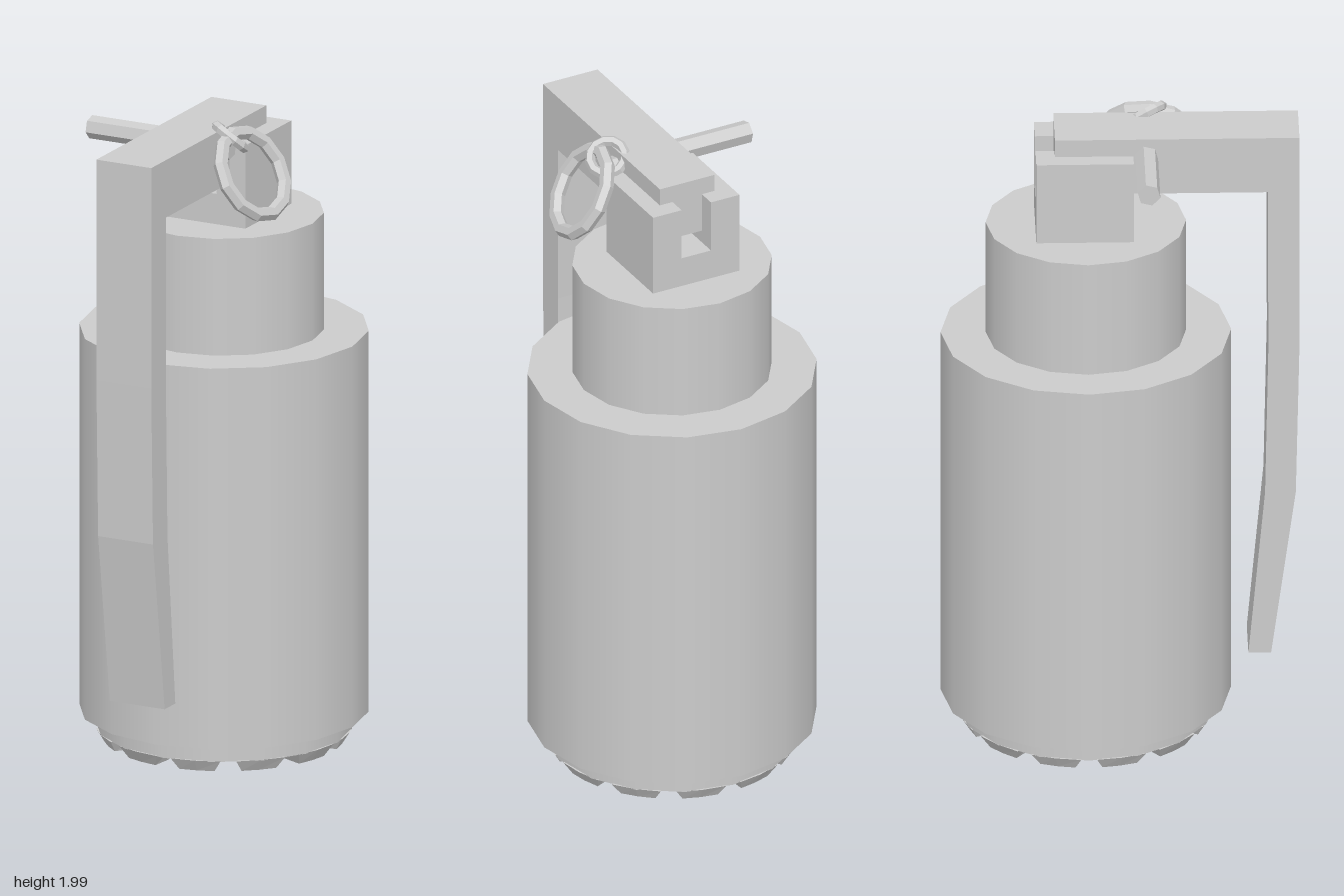
import * as THREE from 'three';

const smooth = new THREE.MeshStandardMaterial({ color: 0xcccccc });
const flat = new THREE.MeshStandardMaterial({ color: 0xcccccc, flatShading: true });
const AXIS_Z = -0.1; // the canister sits behind the centre

export function createModel() {
  const model = new THREE.Group();

  const add = (name, geometry, material, x = 0, y = 0, z = 0) => {
    const mesh = new THREE.Mesh(geometry, material);
    mesh.name = name;
    mesh.position.set(x, y, z);
    model.add(mesh);
    return mesh;
  };

  // Upright 16-sided drum between two heights
  const drum = (name, radius, y0, y1) =>
    add(name, new THREE.CylinderGeometry(radius, radius, y1 - y0, 16), smooth, 0, (y0 + y1) / 2, AXIS_Z);

  // Outline of [u, v] points extruded symmetrically about its plane
  const slab = (points, width) => {
    const shape = new THREE.Shape(points.map(([u, v]) => new THREE.Vector2(u, v)));
    const g = new THREE.ExtrudeGeometry(shape, { depth: width, bevelEnabled: false });
    return g.translate(0, 0, -width / 2);
  };

  // Canister
  drum('base', 0.385, 0.035, 0.09);
  drum('body', 0.435, 0.09, 1.28);
  drum('neck', 0.3, 1.28, 1.645);

  // Ring of teeth under the base, tapering downwards around a recess
  const teeth = new THREE.Group();
  teeth.name = 'baseTeeth';
  teeth.position.z = AXIS_Z;
  const tooth = new THREE.BoxGeometry(1, 1, 1, 2, 1, 1);
  const p = tooth.attributes.position;
  for (let i = 0; i < p.count; i++) {
    const low = p.getY(i) < 0;
    const angle = p.getX(i) * (low ? 0.3 : 0.4);
    const radius = p.getZ(i) > 0 ? (low ? 0.362 : 0.385) : 0.29;
    p.setXYZ(i, radius * Math.sin(angle), low ? 0 : 0.037, radius * Math.cos(angle));
  }
  for (let i = 0; i < 12; i++) {
    const mesh = new THREE.Mesh(tooth, flat);
    mesh.name = 'baseTooth';
    mesh.rotation.y = ((i + 0.5) / 12) * Math.PI * 2;
    teeth.add(mesh);
  }
  model.add(teeth);

  // Fuse block with a slot along its top
  add('fuseBlock', slab([
    [-0.147, 1.645], [0.147, 1.645], [0.147, 1.905], [0.05, 1.905],
    [0.05, 1.74], [-0.05, 1.74], [-0.05, 1.905], [-0.147, 1.905],
  ], 0.292), flat, 0, 0, -0.106);

  // Safety lever, drawn as [z, y] and turned so its width runs along x
  const lever = slab([
    [-0.195, 1.78], [0.442, 1.78], [0.444, 1.27], [0.434, 0.78], [0.384, 0.245],
    [0.452, 0.245], [0.526, 0.78], [0.537, 1.27], [0.537, 1.96], [-0.195, 1.96],
  ], 0.186);
  add('lever', lever.rotateY(-Math.PI / 2), flat);

  // Pull pin through the lever
  const pin = new THREE.CylinderGeometry(0.035, 0.035, 0.475, 6).rotateZ(Math.PI / 2);
  add('pin', pin.rotateX(0.25), flat, -0.118, 1.903, 0.08);

  // Linked rings, each facing along its normal
  const ring = (name, radius, tube, centre, normal) => {
    const mesh = add(name, new THREE.TorusGeometry(radius, tube, 6, 12), flat, ...centre);
    mesh.quaternion.setFromUnitVectors(new THREE.Vector3(0, 0, 1), new THREE.Vector3(...normal).normalize());
  };
  ring('linkRing', 0.054, 0.016, [0.12, 1.94, 0.083], [0.6, 1, -0.6]);
  ring('pullRing', 0.133, 0.022, [0.2, 1.84, 0.095], [0.85, 0.5, 0.13]);

  return model;
}
